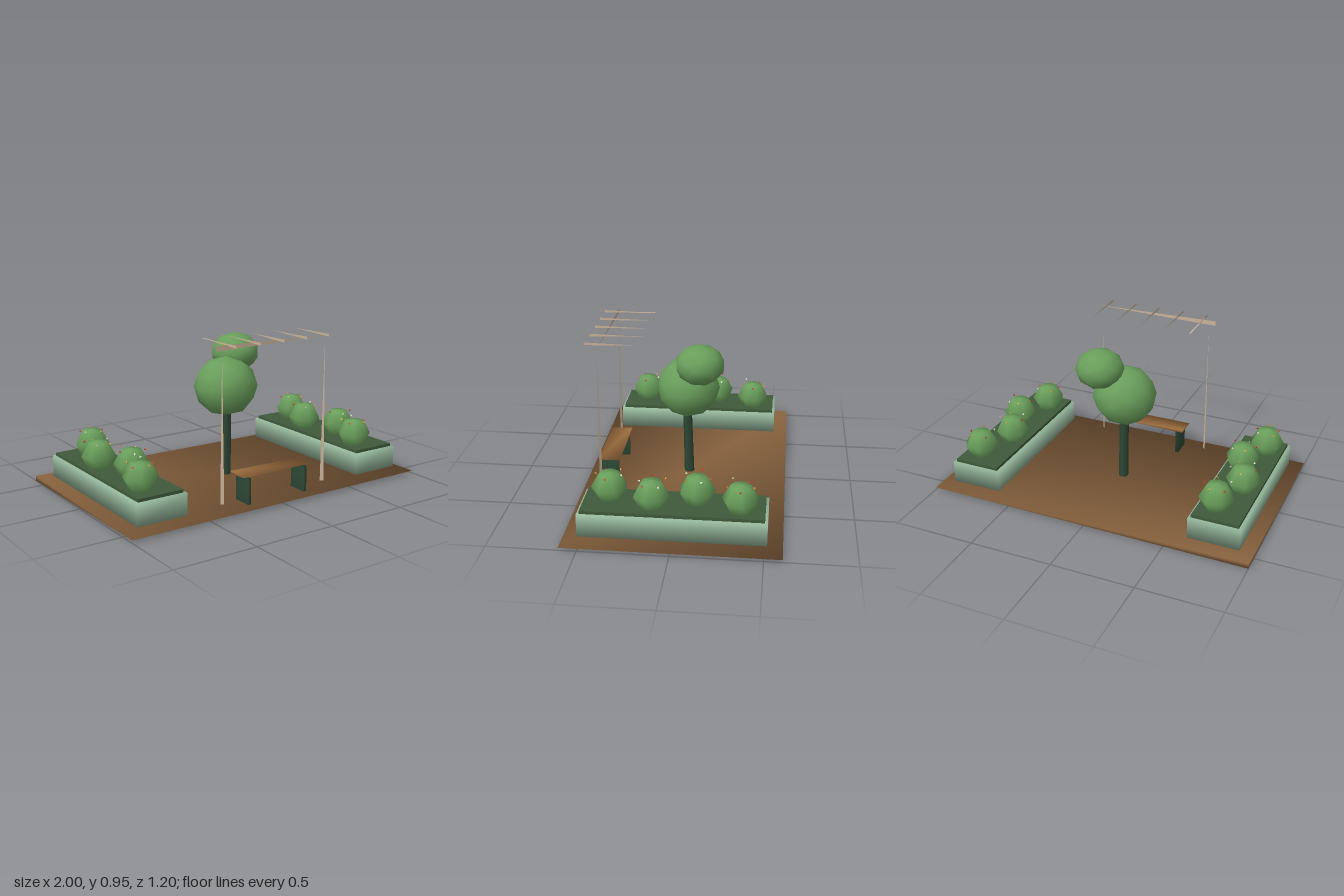
import * as THREE from 'three';
import { mergeVertices } from 'three/addons/utils/BufferGeometryUtils.js';

const mat = (color) => new THREE.MeshStandardMaterial({ color, side: THREE.DoubleSide });
const earth = mat(0x8b6540), wood = mat(0xa07040), tan = mat(0xc9b299), leaf = mat(0x6a9f5c);
const stone = mat(0x94b59a), soilMat = mat(0x3f5a3c), bark = mat(0x2d4735);
const petals = [mat(0xd0402c), mat(0xe8a040), mat(0xe8e0d0)];

// Welded geometry with smooth normals
function smooth(geo) {
  geo.deleteAttribute('normal');
  geo.deleteAttribute('uv');
  const g = mergeVertices(geo, 1e-4);
  g.computeVertexNormals();
  return g;
}

function fromPoints(points, index) {
  const g = new THREE.BufferGeometry();
  g.setAttribute('position', new THREE.Float32BufferAttribute(points.flat(), 3));
  g.setIndex(index);
  g.computeVertexNormals();
  return g;
}

// Slab that is thick at its back right corner and thins to an edge at the others
function slab(x, z0, z1, y0, y1) {
  const m = (y0 + y1) / 2;
  return fromPoints(
    [[-x, y1, z0], [-x, y0, z0], [x, m, z0], [-x, m, z1], [x, m, z1]],
    [0, 3, 4, 0, 4, 2, 1, 4, 3, 1, 2, 4, 0, 2, 1, 0, 1, 3]);
}

// Thin blade running from the edge a-b to the tip
const blade = (a, b, tip) => fromPoints([a, b, tip], [0, 1, 2]);

// Low-poly leafy ball
const crown = (rx, ry, rz) => smooth(new THREE.IcosahedronGeometry(1, 1)).scale(rx, ry, rz);

export function createModel() {
  const root = new THREE.Group();
  const add = (name, geo, material, x = 0, y = 0, z = 0, parent = root) => {
    const mesh = new THREE.Mesh(geo, material);
    mesh.name = name;
    mesh.position.set(x, y, z);
    parent.add(mesh);
    return mesh;
  };

  add('ground', slab(1, -0.6, 0.6, 0, 0.03), earth);

  // Tree
  const trunk = add('trunk', new THREE.CylinderGeometry(0.026, 0.03, 0.46, 6), bark, 0, 0.245, 0);
  trunk.rotation.x = 0.03;
  add('mainCrown', crown(0.195, 0.182, 0.19), leaf, -0.005, 0.58, 0);
  const upper = add('upperCrown', crown(0.147, 0.12, 0.147), leaf, 0.12, 0.765, -0.08);
  upper.rotation.y = 0.5;

  // Bench
  add('benchSeat', slab(0.24, 0.39, 0.52, 0.173, 0.19), wood);
  for (const x of [-0.2, 0.2]) {
    add('benchLeg', smooth(new THREE.BoxGeometry(0.02, 0.155, 0.12)), bark, x, 0.093, 0.46);
  }

  // Pergola
  const pergola = new THREE.Group();
  pergola.name = 'pergola';
  root.add(pergola);
  for (const x of [-0.36, 0.36]) {
    add('post', blade([x - 0.008, 0.04, 0.473], [x + 0.008, 0.04, 0.489], [x, 0.91, 0.481]),
      tan, 0, 0, 0, pergola);
  }
  add('beam', blade([-0.4, 0.91, 0.48], [-0.4, 0.94, 0.48], [0.4, 0.925, 0.48]),
    tan, 0, 0, 0, pergola);
  for (let i = 0; i < 5; i++) {
    const x = -0.32 + i * 0.16;
    add('rafter', blade([x, 0.93, 0.56], [x, 0.946, 0.56], [x, 0.938, 0.24]),
      tan, 0, 0, 0, pergola);
  }
  add('rafterTop', blade([-0.327, 0.94, 0.24], [-0.315, 0.94, 0.24], [-0.321, 0.94, 0.56]),
    tan, 0, 0, 0, pergola);

  // Planters with staggered flowering bushes
  const bushProfile = [[0, -0.085], [0.06, -0.083], [0.103, 0], [0.058, 0.08], [0, 0.088]]
    .map(([r, y]) => new THREE.Vector2(r, y));
  const bushGeo = new THREE.LatheGeometry(bushProfile, 7);
  const flowerGeo = new THREE.TetrahedronGeometry(0.009);
  for (const px of [-0.765, 0.757]) {
    const planter = new THREE.Group();
    planter.name = 'planter';
    planter.position.x = px;
    root.add(planter);
    add('planterBox', smooth(new THREE.BoxGeometry(0.31, 0.13, 1.03)), stone, 0, 0.105, 0, planter);
    add('soil', new THREE.BoxGeometry(0.28, 0.018, 1.0), soilMat, 0, 0.179, 0, planter);
    for (let i = 0; i < 4; i++) {
      const bx = i % 2 ? -0.042 : 0.038, bz = -0.365 + i * 0.242;
      const bush = add('bush', bushGeo, leaf, bx, 0.253, bz, planter);
      bush.rotation.y = i * 0.7 + px;
      for (let k = 0; k < 5; k++) {
        const a = k * 1.257 + i * 0.9, r = 0.07 + 0.006 * (k % 3);
        const flower = add('flower', flowerGeo, petals[(k + i) % 3],
          bx + r * Math.cos(a), 0.325 + 0.008 * (k % 3), bz + r * Math.sin(a), planter);
        flower.rotation.set(a, k, i);
      }
    }
  }
  return root;
}
